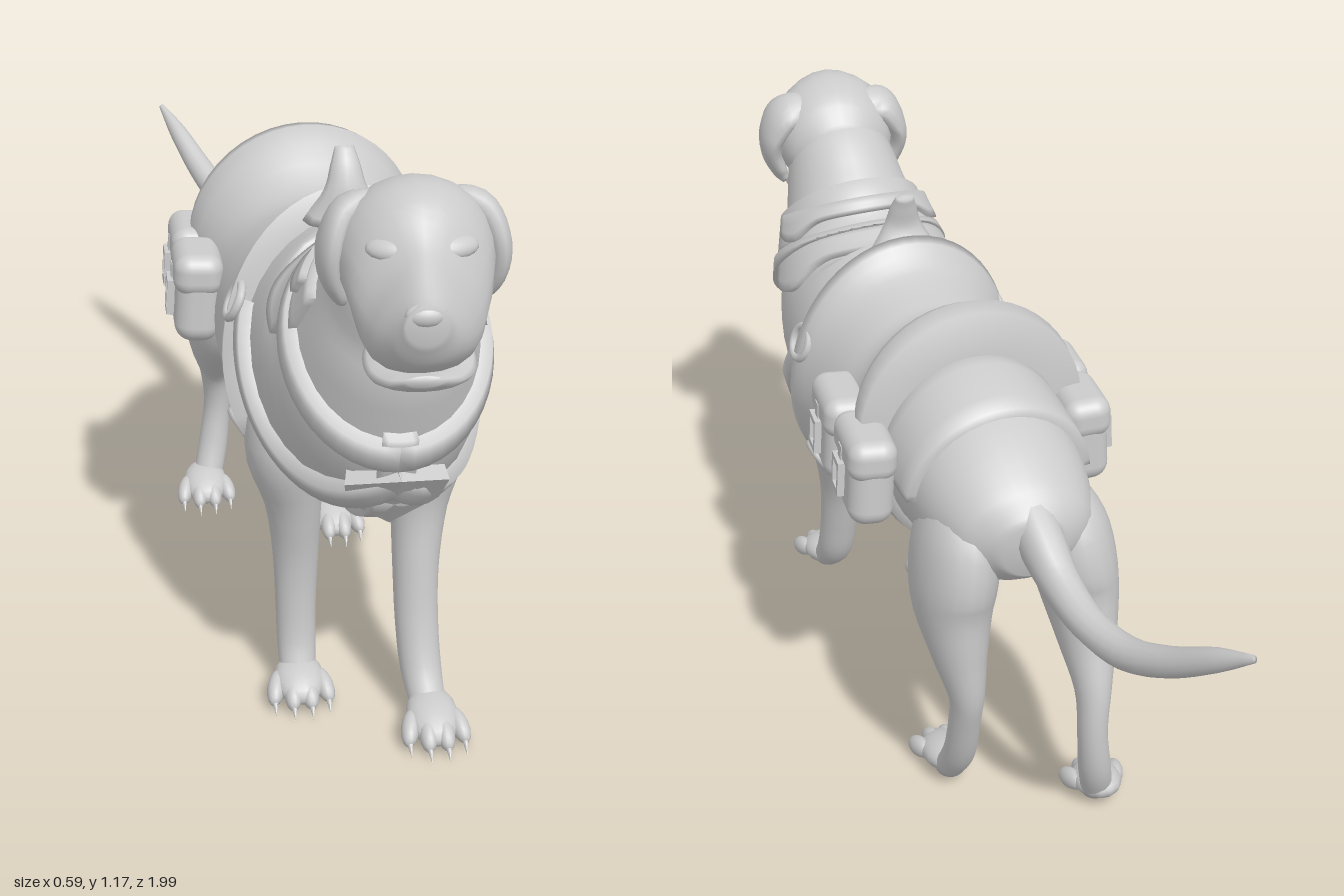
import * as THREE from 'three';
import { RoundedBoxGeometry } from 'three/addons/geometries/RoundedBoxGeometry.js';

const V = (x, y, z) => new THREE.Vector3(x, y, z);
const mat = new THREE.MeshStandardMaterial({ color: 0xcccccc, side: THREE.DoubleSide });
const rad = THREE.MathUtils.degToRad;

function add(parent, name, geo, pos = [0, 0, 0], rot = [0, 0, 0], scale = [1, 1, 1]) {
  const m = new THREE.Mesh(geo, mat);
  m.name = name;
  m.position.set(...pos);
  m.rotation.set(...rot);
  m.scale.set(...scale);
  parent.add(m);
  return m;
}

// Smooth skin through stations [x, y, z, half width, half height, pear]; t counts stations, a is the angle
function skin(st, axis) {
  const c = new THREE.CatmullRomCurve3(st.map(s => V(s[0], s[1], s[2])));
  const r = new THREE.CatmullRomCurve3(st.map(s => V(s[3], s[4], s[5] || 0)), false, 'catmullrom');
  return (t, a, off = 0, k = 1) => {
    const u = THREE.MathUtils.clamp(t / (st.length - 1), 0, 1);
    const T = axis || c.getTangent(u), R = r.getPoint(u);
    const S = V(1, 0, 0).addScaledVector(T, -T.x).normalize();
    const U = T.clone().cross(S);
    return c.getPoint(u)
      .addScaledVector(S, k * (R.x + off) * Math.cos(a) * (1 - R.z * Math.sin(a)))
      .addScaledVector(U, k * (R.y + off) * Math.sin(a));
  };
}

// Grid surface from f(i, j); closed joins the last column to the first
function grid(f, ni, nj, closed) {
  const pos = [], idx = [], w = closed ? nj : nj + 1;
  for (let i = 0; i <= ni; i++) for (let j = 0; j < w; j++) pos.push(...f(i, j).toArray());
  for (let i = 0; i < ni; i++) for (let j = 0; j < nj; j++) {
    const a = i * w + j, b = i * w + (j + 1) % w;
    idx.push(a, b, a + w, b, b + w, a + w);
  }
  const g = new THREE.BufferGeometry();
  g.setAttribute('position', new THREE.Float32BufferAttribute(pos, 3));
  g.setIndex(idx);
  g.computeVertexNormals();
  return g;
}

function loft(parent, name, st, axis, n = 20) {
  const f = skin(st, axis), ni = (st.length - 1) * 4;
  const geo = grid((i, j) => {
    const row = THREE.MathUtils.clamp(i - 1, 0, ni);
    return f(row / 4, j / n * Math.PI * 2, 0, i === 0 || i === ni + 2 ? 0 : 1);
  }, ni + 2, n, true);
  return add(parent, name, geo);
}

const torso = [
  [-.03, .66, -.445, .06, .06], [-.03, .665, -.40, .13, .105], [-.02, .68, -.28, .17, .16],
  [0, .69, -.1, .178, .198], [.02, .665, .1, .195, .225], [.045, .675, .3, .21, .262],
  [.065, .73, .47, .2, .262], [.073, .83, .565, .167, .2], [.08, .93, .625, .135, .152],
  [.085, 1.0, .68, .115, .125], [.09, 1.03, .73, .09, .09]];
const body = skin(torso);

// Gear that hugs the torso between stations t0(a) and t1(a), from angle a0 to a1, with closed rims
function wrap(parent, name, t0, t1, a0, a1, off, ni = 3, nj = 40) {
  const val = (v, ...p) => typeof v === 'function' ? v(...p) : v;
  const geo = grid((i, j) => {
    const u = THREE.MathUtils.clamp((i - 1) / (ni - 2), 0, 1);
    const v = THREE.MathUtils.clamp((j - 1) / (nj - 2), 0, 1);
    const d = a0 + (a1 - a0) * v;
    const rim = i === 0 || i === ni || j === 0 || j === nj;
    const t = THREE.MathUtils.lerp(val(t0, d), val(t1, d), u);
    return body(t, rad(d), rim ? -.01 : val(off, u, d));
  }, ni, nj, false);
  return add(parent, name, geo);
}

function foot(parent, name, x, heel, toe) {
  const g = new THREE.Group();
  g.name = name;
  parent.add(g);
  const ball = new THREE.SphereGeometry(1, 14, 10), claw = new THREE.ConeGeometry(.008, .04, 6);
  add(g, 'paw', ball, [x, .042, (heel + toe) / 2 - .008], [.22, 0, 0], [.05, .032, (toe - heel) / 2 - .012]);
  for (let i = 0; i < 4; i++) {
    const s = i - 1.5, z = toe - .05 - (Math.abs(s) > 1 ? .02 : 0);
    add(g, 'toe', ball, [x + s * .031, .034, z], [.35, s * .15, 0], [.018, .022, .042]);
    add(g, 'claw', claw, [x + s * .035, .017, z + .041], [2.2, 0, 0]);
  }
}

function pouch(parent, s, x, z, w) {
  const g = new THREE.Group();
  g.name = s > 0 ? 'leftPouch' : 'rightPouch';
  g.position.set(x, .705, z);
  g.rotation.z = s * .06;
  g.scale.x = s;
  parent.add(g);
  add(g, 'pouchBag', new RoundedBoxGeometry(.09, .18, w, 4, .036));
  add(g, 'pouchFlap', new RoundedBoxGeometry(.098, .085, w + .01, 4, .032), [.002, .053, 0]);
  add(g, 'pouchStrap', new THREE.BoxGeometry(.01, .1, .025), [.048, .01, 0]);
  for (const k of [-1, 1]) {
    add(g, 'buckleBar', new THREE.BoxGeometry(.014, .012, .05), [.054, k * .03 - .005, 0]);
    add(g, 'buckleSide', new THREE.BoxGeometry(.014, .072, .01), [.054, -.005, k * .022]);
  }
}

export function createModel() {
  const dog = new THREE.Group();
  dog.name = 'harnessedDog';
  loft(dog, 'body', torso, null, 32);

  // Head
  const head = new THREE.Group();
  head.name = 'head';
  dog.add(head);
  loft(head, 'skull', [
    [.09, 1.03, .60, .06, .06], [.09, 1.04, .65, .112, .11], [.09, 1.05, .73, .132, .125],
    [.088, 1.035, .80, .12, .126, .15], [.083, .998, .86, .094, .11, .38], [.077, .995, .91, .076, .086, .4],
    [.071, 1.003, .96, .054, .06, .25], [.067, 1.025, .988, .034, .034]], V(0, 0, 1), 24);
  loft(head, 'lowerJaw', [
    [.09, .925, .72, .06, .03], [.087, .9, .80, .092, .037], [.083, .888, .86, .09, .025],
    [.078, .894, .91, .064, .018], [.075, .905, .935, .028, .01]], V(0, 0, 1), 16);
  const ball = new THREE.SphereGeometry(1, 16, 12);
  add(head, 'nose', ball, [.067, 1.038, .974], [.35, 0, 0], [.034, .02, .02]);
  for (const s of [-1, 1]) {
    const ex = d => .09 + s * d;
    add(head, 'eye', ball, [ex(.052) - .005, 1.066, .84], [0, 0, 0], [.016, .011, .01]);
    add(head, 'brow', ball, [ex(.05) - .003, 1.09, .824], [.5, s * .3, s * -.2], [.045, .018, .025]);
    loft(head, 'ear', [
      [ex(.055), 1.122, .69, .02, .03], [ex(.106), 1.112, .695, .028, .052], [ex(.136), 1.065, .712, .025, .06],
      [ex(.139), 1.015, .716, .022, .05], [ex(.122), .97, .708, .016, .03], [ex(.112), .952, .7, .008, .012]], null, 14);
  }

  // Legs
  loft(dog, 'frontLegLeft', [
    [.14, .66, .36, .06, .09], [.17, .53, .4, .078, .115], [.16, .41, .43, .055, .07], [.152, .3, .46, .045, .05],
    [.152, .19, .485, .042, .042], [.157, .1, .515, .04, .04], [.165, .04, .565, .034, .028]]);
  loft(dog, 'frontLegRight', [
    [-.06, .66, .35, .06, .09], [-.088, .53, .38, .078, .11], [-.075, .41, .39, .055, .065], [-.07, .3, .385, .045, .045],
    [-.07, .19, .385, .04, .038], [-.07, .1, .395, .038, .036], [-.07, .04, .425, .034, .028]]);
  loft(dog, 'hindLegLeft', [
    [.045, .77, -.265, .03, .05], [.067, .69, -.28, .065, .105], [.081, .61, -.30, .083, .138], [.092, .5, -.315, .08, .128],
    [.09, .4, -.352, .058, .082], [.08, .3, -.378, .036, .045], [.08, .23, -.365, .032, .036],
    [.08, .12, -.325, .033, .034], [.085, .04, -.27, .032, .028]]);
  loft(dog, 'hindLegRight', [
    [-.09, .77, -.265, .03, .05], [-.112, .69, -.285, .065, .1], [-.134, .61, -.31, .085, .128], [-.157, .5, -.33, .078, .118],
    [-.162, .4, -.385, .058, .075], [-.16, .31, -.44, .036, .043], [-.157, .22, -.455, .03, .034],
    [-.168, .12, -.445, .033, .034], [-.185, .04, -.415, .032, .028]]);
  foot(dog, 'frontPawLeft', .167, .52, .695);
  foot(dog, 'frontPawRight', -.07, .375, .53);
  foot(dog, 'hindPawLeft', .083, -.31, -.12);
  foot(dog, 'hindPawRight', -.192, -.465, -.3);

  // Tail
  loft(dog, 'tail', [
    [-.03, .73, -.36, .045, .055], [-.045, .675, -.44, .045, .055], [-.06, .63, -.52, .038, .042],
    [-.08, .608, -.62, .034, .034], [-.115, .612, -.73, .032, .032], [-.16, .655, -.83, .028, .028],
    [-.205, .715, -.92, .02, .022], [-.24, .76, -.99, .006, .007]], null, 14);

  // Saddle with raised back and front
  const gear = new THREE.Group();
  gear.name = 'harness';
  dog.add(gear);
  const bump = (u, c, w) => Math.exp(-(((u - c) / w) ** 2));
  const up = d => Math.max(0, Math.sin(rad(d)));
  const dip = d => Math.max(0, -Math.sin(rad(d)));
  wrap(gear, 'saddle', d => 2.9 + 1.2 * Math.sqrt(dip(d)), d => 4.98 + .12 * up(d), -30, 210,
    (u, d) => .024 + .092 * up(d) ** .6 * bump(u, .04, .15) + (.012 + .022 * up(d) ** 2) * bump(u, 1, .14), 18, 40);
  loft(gear, 'saddleHorn', [
    [.035, .94, .29, .08, .045], [.035, 1.0, .298, .042, .026], [.035, 1.045, .287, .028, .019],
    [.035, 1.075, .272, .018, .01]], null, 12);
  wrap(gear, 'rearPad', 2.15, 3, 5, 175, .018, 6);
  wrap(gear, 'rearGirth', 2.88, 3.22, -190, 10, .016, 4);
  wrap(gear, 'frontGirth', d => 4.62 + .5 * dip(d), d => 4.8 + .5 * dip(d), -160, -20, .016, 4);

  // Chest straps, collar and neck cloth
  const sweep = d => 5 + 1.4 * (1 - Math.abs(d + 90) / 115);
  wrap(gear, 'chestBand', d => sweep(d) - .1, d => sweep(d) + .16, -205, 25, .022, 4, 48);
  const collar = d => 7 + .22 * Math.sin(rad(d));
  wrap(gear, 'collar', d => collar(d) - .15, d => collar(d) + .13, -90, 270, .022, 4, 48);
  wrap(gear, 'neckCloth', d => 6.7 - .5 * bump(Math.abs(d - 90), 62, 18) - .25 * up(d) ** 4, 7.1, 8, 172, .018, 6);
  wrap(gear, 'neckWrap', 7.1, d => 7.85 + .2 * up(d), 0, 180, .015, 6);
  wrap(gear, 'neckFold', d => 7.55 - .3 * bump(Math.abs(d - 90), 60, 15), 7.8, 15, 165, .027, 5);
  wrap(gear, 'breastStrap', 6.3, 7, -100, -80, .016, 8, 8);
  wrap(gear, 'bellyStrap', 5.05, 6.2, -100, -80, .018, 10, 8);

  // Chest shield: two mirrored halves folded along the front edge
  const half = new THREE.Shape([[0, .1], [.095, .052], [.085, -.025], [0, -.095]].map(p => new THREE.Vector2(...p)));
  const plate = new THREE.ExtrudeGeometry(half, { depth: .03, bevelEnabled: false }).translate(0, 0, -.03);
  const shield = new THREE.Group();
  shield.name = 'chestShield';
  shield.position.set(.075, .545, .672);
  shield.rotation.x = .7;
  gear.add(shield);
  for (const s of [-1, 1]) add(shield, 'shieldHalf', plate, [0, 0, 0], [0, s * .2, 0], [s, 1, 1]);

  // Rings where the straps meet, lying flat on the coat
  for (const side of [0, 1]) for (const [t, a] of [[5, 23], [4.72, -32]]) {
    const b = rad(side ? 180 - a : a), q = body(t, b, .03);
    add(gear, 'strapRing', new THREE.TorusGeometry(.034, .009, 8, 20), q.toArray()).lookAt(body(t, b, .2));
  }

  // Side pouches
  pouch(gear, 1, .232, .02, .155);
  pouch(gear, 1, .222, -.15, .165);
  pouch(gear, -1, -.228, .045, .14);
  pouch(gear, -1, -.225, -.105, .15);
  return dog;
}
